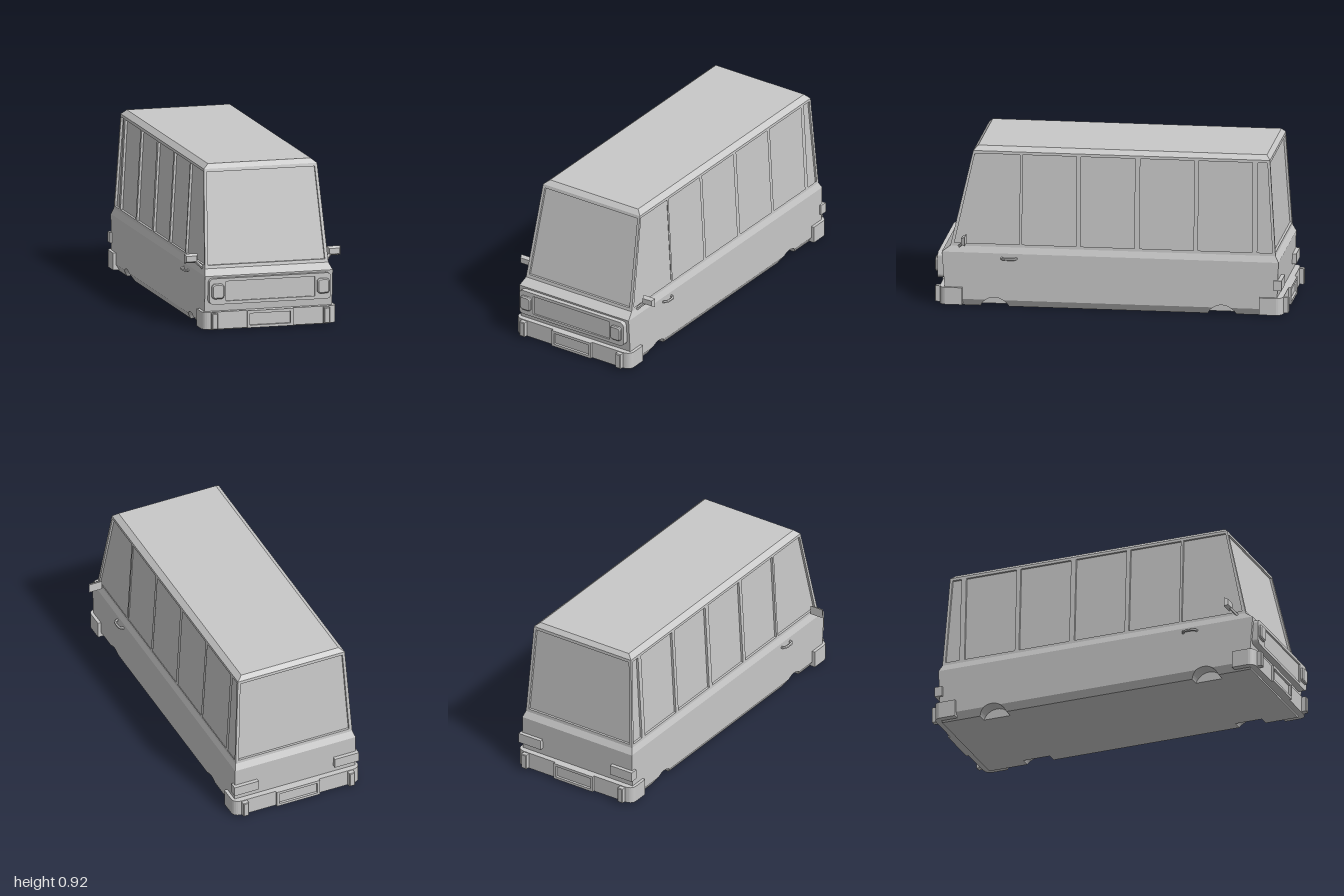
import * as THREE from 'three';

const paint = new THREE.MeshStandardMaterial({ color: 0xc8c8c8 });
paint.name = 'grey paint';

function add(parent, name, geo) {
  const g = geo.index ? geo.toNonIndexed() : geo;
  g.computeVertexNormals();
  const m = new THREE.Mesh(g, paint);
  m.name = name;
  parent.add(m);
  return m;
}

function box(parent, name, x0, x1, y0, y1, z0, z1) {
  const g = new THREE.BoxGeometry(x1 - x0, y1 - y0, z1 - z0);
  g.translate((x0 + x1) / 2, (y0 + y1) / 2, (z0 + z1) / 2);
  return add(parent, name, g);
}

// Closed stack of rectangles, each given as [y, half width, front z, back z]
function loft(rings) {
  const pos = [];
  const c = rings.map(([y, x, f, b]) => [[-x, y, f], [x, y, f], [x, y, b], [-x, y, b]]);
  const quad = (p, q, r, s) => pos.push(...p, ...q, ...r, ...p, ...r, ...s);
  for (let k = 0; k + 1 < c.length; k++) {
    for (let i = 0; i < 4; i++) {
      const j = (i + 1) % 4;
      quad(c[k][i], c[k][j], c[k + 1][j], c[k + 1][i]);
    }
  }
  quad(...c[c.length - 1]);
  quad(...[...c[0]].reverse());
  const g = new THREE.BufferGeometry();
  g.setAttribute('position', new THREE.Float32BufferAttribute(pos, 3));
  return g;
}

const poly = pts => new THREE.Shape(pts.map(p => new THREE.Vector2(...p)));
const rect = (x0, x1, y0, y1) => poly([[x0, y0], [x1, y0], [x1, y1], [x0, y1]]);

function roundRect(x0, x1, y0, y1, r) {
  const s = new THREE.Shape();
  s.absarc(x1 - r, y0 + r, r, -Math.PI / 2, 0);
  s.absarc(x1 - r, y1 - r, r, 0, Math.PI / 2);
  s.absarc(x0 + r, y1 - r, r, Math.PI / 2, Math.PI);
  s.absarc(x0 + r, y0 + r, r, Math.PI, Math.PI * 1.5);
  return s;
}

const extrude = (shape, depth, extra = {}) =>
  new THREE.ExtrudeGeometry(shape, { depth, bevelEnabled: false, curveSegments: 6, ...extra });

// Greenhouse limits, with glass set back behind the frames
const Y0 = 0.345, Y1 = 0.89, INSET = 0.013;
const at = (lo, hi, y) => lo + (hi - lo) * (y - Y0) / (Y1 - Y0);

// Leaning frame with window holes, facing the direction given by angle
function frame(parent, name, outline, holes, lo, hi, angle) {
  const s = poly(outline);
  holes.forEach(h => s.holes.push(poly(h)));
  const g = extrude(s, INSET);
  const p = g.attributes.position;
  for (let i = 0; i < p.count; i++) p.setZ(i, p.getZ(i) - INSET + at(lo, hi, p.getY(i)));
  g.rotateY(angle);
  add(parent, name, g);
}

// Sill piece whose outer face tucks in towards the floor
const ARCH_R = 0.0857, ARCH_Y = -0.0307, ARCH_Z = [-0.625, 0.66], SILL = 0.055;
const archHalf = y => Math.sqrt(Math.max(0, ARCH_R ** 2 - (y - ARCH_Y) ** 2));
function sill(parent, side, z0, z1, arch0, arch1) {
  for (const levels of [[0, 0.01, 0.02, 0.03, 0.04], [0.04, 0.046, 0.051, 0.054, SILL]]) {
    const low = levels.map(y => [z0 + (arch0 ? archHalf(y) : 0), y]);
    const high = levels.map(y => [z1 - (arch1 ? archHalf(y) : 0), y]);
    let pts = [...high, ...low.reverse()];
    if (side > 0) pts = pts.map(([z, y]) => [-z, y]).reverse();
    const g = extrude(poly(pts), 1);
    const p = g.attributes.position;
    for (let i = 0; i < p.count; i++) {
      const outer = 0.347 + 0.025 * Math.min(1, p.getY(i) / 0.04);
      p.setZ(i, p.getZ(i) > 0.5 ? outer : 0.28);
    }
    g.rotateY(side * Math.PI / 2);
    add(parent, 'sill', g);
  }
}

function bumper(name) {
  const b = new THREE.Group();
  b.name = name;
  const s = new THREE.Shape();
  s.moveTo(-0.39, -0.84);
  s.lineTo(-0.39, -0.935);
  s.quadraticCurveTo(-0.385, -0.97, -0.34, -0.972);
  s.lineTo(0.34, -0.972);
  s.quadraticCurveTo(0.385, -0.97, 0.39, -0.935);
  s.lineTo(0.39, -0.84);
  const g = extrude(s, 0.098);
  g.rotateX(-Math.PI / 2);
  g.translate(0, 0.01, 0);
  add(b, 'bumper bar', g);
  // Raised centre with a recessed plate
  const c = rect(-0.133, 0.133, 0.01, 0.108);
  c.holes.push(rect(-0.118, 0.118, 0.025, 0.092));
  const cg = extrude(c, 0.018);
  cg.translate(0, 0, 0.968);
  add(b, 'plate surround', cg);
  for (const x of [-0.327, 0.327]) {
    const o = extrude(rect(x - 0.013, x + 0.013, 0.018, 0.1), 0.028,
      { bevelEnabled: true, bevelSize: 0.004, bevelThickness: 0.004, bevelSegments: 1 });
    o.translate(0, 0, 0.968);
    add(b, 'overrider', o);
  }
  return b;
}

export function createModel() {
  const van = new THREE.Group();
  van.name = 'van';

  // Lower body, glass and roof
  add(van, 'lower body', loft([[SILL, 0.372, 0.937, -0.937], [0.31, 0.372, 0.957, -0.947], [Y0, 0.36, 0.91, -0.928]]));
  box(van, 'floor', -0.29, 0.29, 0, SILL, -0.935, 0.935);
  add(van, 'glass', loft([[Y0, 0.36 - INSET, 0.91 - INSET, -0.928 + INSET], [Y1, 0.33 - INSET, 0.785 - INSET, -0.893 + INSET]]));
  add(van, 'roof', loft([[Y1, 0.33, 0.785, -0.893], [0.915, 0.3, 0.76, -0.872]]));

  // Windscreen and rear window frames
  const ends = [[-0.36, Y0], [0.36, Y0], [0.33, Y1], [-0.33, Y1]];
  const pane = [[-0.341, 0.363], [0.341, 0.363], [0.315, 0.872], [-0.315, 0.872]];
  frame(van, 'windscreen frame', ends, [pane], 0.91, 0.785, 0);
  frame(van, 'rear window frame', ends, [pane], 0.928, 0.893, Math.PI);

  // Side window frames: bottom and top z of each pane's two edges
  const panes = [[0.52, 0.52, 0.887, 0.775], [0.2, 0.2, 0.505, 0.505], [-0.13, -0.13, 0.175, 0.175],
    [-0.465, -0.465, -0.16, -0.16], [-0.795, -0.795, -0.49, -0.49], [-0.911, -0.879, -0.825, -0.825]];
  for (const side of [-1, 1]) {
    const turn = pts => pts.map(([z, y]) => [-side * z, y]);
    frame(van, 'side window frame',
      turn([[-0.928, Y0], [0.91, Y0], [0.785, Y1], [-0.893, Y1]]),
      panes.map(([a, b, c, d]) => turn([[a, 0.362], [c, 0.362], [d, 0.874], [b, 0.874]])),
      0.36, 0.33, side * Math.PI / 2);

    // Sill between the wheel arches
    sill(van, side, -0.935, ARCH_Z[0], false, true);
    sill(van, side, ARCH_Z[0], ARCH_Z[1], true, true);
    sill(van, side, ARCH_Z[1], 0.935, true, false);

    // Headlight and tail light
    const x = side * 0.307;
    const lamp = extrude(roundRect(x - 0.029, x + 0.029, 0.192, 0.264, 0.013), 0.01,
      { bevelEnabled: true, bevelSize: 0.007, bevelThickness: 0.006, bevelSegments: 1 });
    lamp.translate(0, 0, 0.983);
    add(van, 'headlight', lamp);
    const t = side * 0.31;
    box(van, 'tail light', t - 0.074, t + 0.074, 0.15, 0.208, -0.965, -0.92);

    // Door handle
    const grip = new THREE.CatmullRomCurve3([[0.365, 0.62], [0.388, 0.612], [0.393, 0.595], [0.393, 0.56], [0.388, 0.543], [0.365, 0.535]]
      .map(([hx, z]) => new THREE.Vector3(side * hx, 0.283, z)));
    add(van, 'door handle', new THREE.TubeGeometry(grip, 16, 0.008, 6));

    // Door mirror with tapered front and slanted arm
    const head = new THREE.BoxGeometry(0.08, 0.053, 0.022);
    const p = head.attributes.position;
    for (let i = 0; i < p.count; i++) {
      if (p.getZ(i) > 0) p.setXY(i, p.getX(i) * 0.75, p.getY(i) * 0.6);
    }
    head.translate(side * 0.416, 0.391, 0.828);
    add(van, 'mirror', head);
    const arm = new THREE.LineCurve3(new THREE.Vector3(side * 0.35, 0.335, 0.865), new THREE.Vector3(side * 0.395, 0.378, 0.828));
    add(van, 'mirror arm', new THREE.TubeGeometry(arm, 1, 0.009, 4));
  }

  // Grille surround with recessed centre
  const grille = roundRect(-0.355, 0.355, 0.152, 0.3, 0.025);
  grille.holes.push(rect(-0.26, 0.26, 0.17, 0.282));
  const gg = extrude(grille, 0.045);
  gg.translate(0, 0, 0.938);
  add(van, 'grille surround', gg);
  box(van, 'grille', -0.262, 0.262, 0.168, 0.284, 0.94, 0.973);

  // Bumpers
  van.add(bumper('front bumper'));
  const rear = bumper('rear bumper');
  rear.rotation.y = Math.PI;
  van.add(rear);
  return van;
}
